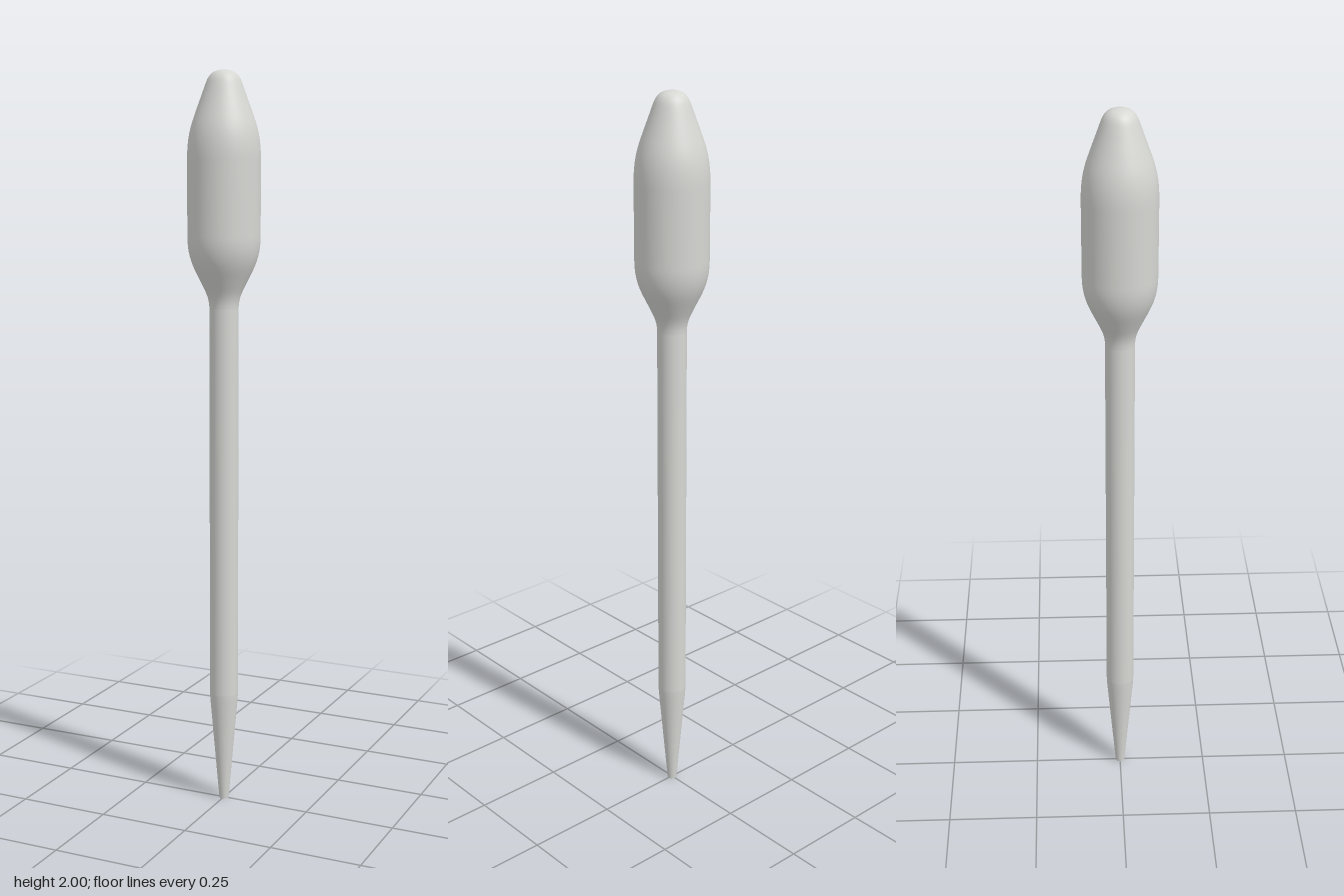
import * as THREE from 'three';

const SEGMENTS = 64;

// Surface of revolution from [radius, height] pairs, listed bottom to top
function turned(name, profile, material) {
  const points = profile.map(([r, y]) => new THREE.Vector2(r, y));
  const mesh = new THREE.Mesh(new THREE.LatheGeometry(points, SEGMENTS), material);
  mesh.name = name;
  return mesh;
}

// Samples a cubic Bezier in the profile plane
function bend(a, b, c, d, steps = 10) {
  const v = [a, b, c, d].map(([r, y]) => new THREE.Vector2(r, y));
  return new THREE.CubicBezierCurve(...v).getPoints(steps).map((p) => [p.x, p.y]);
}

export function createModel() {
  const group = new THREE.Group();
  group.name = 'dropper';

  const plastic = new THREE.MeshStandardMaterial({ color: 0xd6d6d3 });
  plastic.name = 'pale grey plastic';

  // Narrow tapered tip
  group.add(turned('tip', [[0.013, 0], [0.038, 0.29], [0.039, 0.31]], plastic));

  // Flat end of the tip
  const end = new THREE.Mesh(new THREE.CircleGeometry(0.013, SEGMENTS), plastic);
  end.name = 'tipEnd';
  end.rotation.x = Math.PI / 2;
  group.add(end);

  // Straight stem
  group.add(turned('stem', [[0.039, 0.31], [0.039, 1.38]], plastic));

  // Squeeze bulb: flared neck, straight body, tapering shoulder, rounded crown
  const bulb = [
    ...bend([0.039, 1.38], [0.039, 1.41], [0.052, 1.43], [0.064, 1.455], 8),
    ...bend([0.064, 1.455], [0.08, 1.487], [0.097, 1.515], [0.097, 1.57]).slice(1),
    ...bend([0.097, 1.77], [0.097, 1.84], [0.082, 1.87], [0.07, 1.905]),
    ...bend([0.07, 1.905], [0.056, 1.942], [0.052, 1.955], [0.046, 1.97], 5).slice(1),
    ...bend([0.046, 1.97], [0.038, 1.99], [0.026, 2], [0, 2]).slice(1),
  ];
  group.add(turned('bulb', bulb, plastic));

  return group;
}
